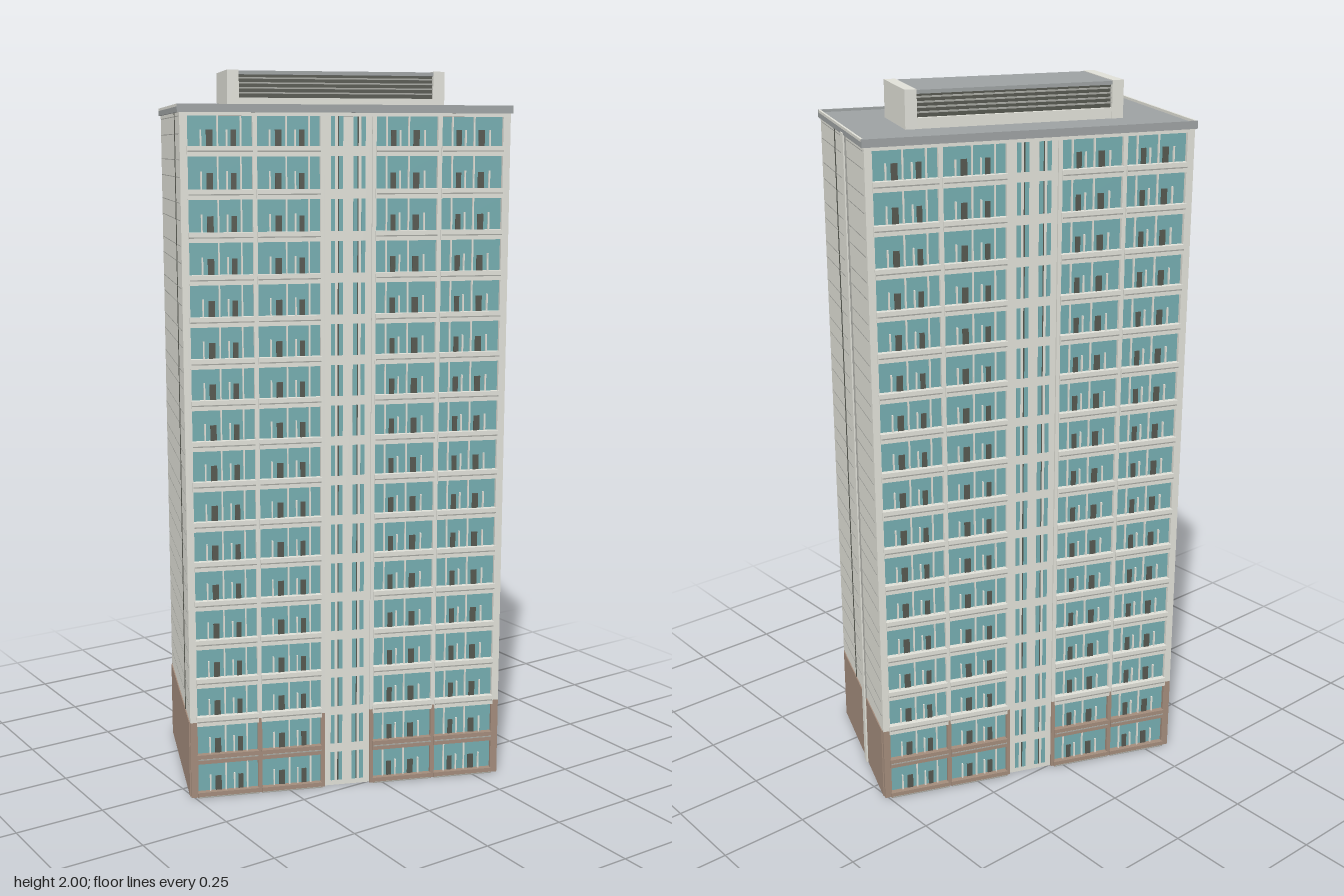
import * as THREE from 'three';
import { mergeGeometries } from 'three/addons/utils/BufferGeometryUtils.js';

const mat = (name, color) => {
  const m = new THREE.MeshStandardMaterial({ color });
  m.name = name;
  return m;
};

// Box given by its limits on each axis
const box = (x0, x1, y0, y1, z0, z1) =>
  new THREE.BoxGeometry(x1 - x0, y1 - y0, z1 - z0)
    .translate((x0 + x1) / 2, (y0 + y1) / 2, (z0 + z1) / 2);

const FLOORS = 17, PITCH = 0.1115, TOP = 1.89, BASE = 0.222;
const HALF_W = 0.447, HALF_D = 0.252, BACKING = 0.238;

export function createModel() {
  const beige = mat('pale concrete', 0xdfdfd7);
  const brown = mat('brown cladding', 0xa28b7b);
  const teal = mat('teal glass', 0x74acaf);
  const grey = mat('roof grey', 0x9da1a2);
  const dark = mat('dark trim', 0x55574f);
  const joint = mat('panel joint', 0xa5a6a0);

  const add = (parent, name, material, boxes) => {
    const mesh = new THREE.Mesh(mergeGeometries(boxes), material);
    mesh.name = name;
    parent.add(mesh);
  };

  const tower = new THREE.Group();
  tower.name = 'tower';
  add(tower, 'body', beige, [box(-HALF_W, HALF_W, 0, TOP, -BACKING, BACKING)]);

  // Long facade: four window bays and a stair core, used front and back
  const bays = [[-0.427, -0.257], [-0.245, -0.076], [0.076, 0.245], [0.257, 0.427]];
  const columns = [[-HALF_W, -0.427], [-0.257, -0.245], [-0.076, -0.065],
    [0.065, 0.076], [0.245, 0.257], [0.427, HALF_W]];
  const facade = () => {
    const g = new THREE.Group();
    const glass = [], bands = [], baseBands = [], ledges = [], doors = [], frames = [];
    const coreGlass = [], coreSlots = [];
    for (let i = 0; i < FLOORS; i++) {
      const f = i * PITCH, y0 = f + 0.015, y1 = Math.min(f + 0.1, TOP - 0.014);
      for (const [a, b] of bays) {
        const mid = (a + b) / 2, out = Math.sign(mid);
        glass.push(box(a, b, y0, y1, BACKING, 0.241));
        (f < BASE - 0.01 ? baseBands : bands)
          .push(box(a - 0.002, b + 0.002, Math.max(0, f - 0.0115), y0, BACKING, 0.257));
        ledges.push(box(a, b, f, f + 0.003, 0.25, 0.2585));
        // Doors and mullions mirror about the stair core
        for (const [t, w] of [[0.027, 0.017], [-0.036, 0.014]]) {
          const c = mid + out * t;
          doors.push(box(c - w / 2, c + w / 2, y0, y0 + 0.042, 0.241, 0.244));
        }
        for (const [t, h] of [[-0.055, 1], [-0.018, 0.55], [0.006, 1], [0.05, 0.55]])
          frames.push(box(mid + out * t - 0.002, mid + out * t + 0.002,
            y0, y0 + (y1 - y0) * h, 0.241, 0.247));
      }
      for (const s of [-1, 1]) {
        const slot = (p, q, list) =>
          list.push(box(Math.min(s * p, s * q), Math.max(s * p, s * q), y0, y1, 0.246, 0.248));
        slot(0.014, 0.025, coreGlass);
        slot(0.025, 0.028, coreSlots);
        slot(0.036, 0.047, coreGlass);
      }
    }
    add(g, 'window glass', teal, glass);
    add(g, 'floor bands', beige, bands);
    add(g, 'base floor bands', brown, baseBands);
    add(g, 'band ledges', joint, ledges);
    add(g, 'balcony doors', dark, doors);
    add(g, 'window mullions', beige, frames);
    add(g, 'stair core', beige, [box(-0.065, 0.065, 0, TOP, BACKING, 0.246)]);
    add(g, 'stair windows', teal, coreGlass);
    add(g, 'stair window posts', dark, coreSlots);
    add(g, 'columns', beige, columns.map(([a, b]) => box(a, b, BASE, TOP, BACKING, HALF_D)));
    add(g, 'base columns', brown, columns.map(([a, b]) => box(a, b, 0, BASE, BACKING, HALF_D)));
    add(g, 'top beam', beige, [box(-HALF_W, HALF_W, TOP - 0.014, TOP, BACKING, 0.253)]);
    return g;
  };
  const front = facade(), back = facade();
  front.name = 'front facade';
  back.name = 'back facade';
  back.rotation.y = Math.PI;
  tower.add(front, back);

  // Short end walls with panel joints and brown base
  for (const s of [1, -1]) {
    const end = new THREE.Group();
    end.name = s > 0 ? 'left end wall' : 'right end wall';
    if (s < 0) end.rotation.y = Math.PI;
    const x = HALF_W;
    const rows = [];
    for (let i = 2; i < FLOORS; i++)
      for (const dy of [0.045, 0.09])
        rows.push(box(x, x + 0.001, i * PITCH + dy, i * PITCH + dy + 0.002, -0.238, 0.238));
    add(end, 'horizontal joints', joint, rows);
    const z = s > 0 ? 0.075 : -0.14;
    add(end, 'vertical joint', dark, [box(x, x + 0.002, BASE, TOP, z - 0.002, z + 0.002)]);
    add(end, 'base cladding', brown, [box(x, x + 0.003, 0, BASE, -0.24, 0.24)]);
    if (s > 0) {
      add(end, 'vertical rib', beige, [box(x, x + 0.008, 0, TOP, -0.054, -0.027)]);
      add(end, 'rib side joints', joint, [
        box(x, x + 0.004, BASE, TOP, -0.027, -0.025), box(x, x + 0.004, BASE, TOP, -0.056, -0.054)]);
    }
    tower.add(end);
  }

  // Flat roof with a low rim, pale along the short ends
  const rx = 0.453, rz = 0.255, rim = 0.006;
  add(tower, 'roof slab', grey, [box(-rx, rx, 1.885, 1.899, -rz, rz)]);
  add(tower, 'long roof rims', grey, [
    box(-rx, rx, 1.899, 1.906, rz - rim, rz), box(-rx, rx, 1.899, 1.906, -rz, -rz + rim)]);
  add(tower, 'end roof rims', beige, [
    box(-rx, -rx + rim, 1.899, 1.906, -rz + rim, rz - rim),
    box(rx - rim, rx, 1.899, 1.906, -rz + rim, rz - rim)]);

  // Rooftop plant room: solid ends, louvred long sides
  const plant = new THREE.Group();
  plant.name = 'plant room';
  add(plant, 'plant room ends', beige, [-1, 1].map((s) =>
    box(s * 0.286 - 0.016, s * 0.286 + 0.016, 1.899, 2, -0.107, 0.107)));
  add(plant, 'plant room lower wall', beige, [box(-0.27, 0.27, 1.899, 1.927, -0.105, 0.105)]);
  add(plant, 'louvre backing', dark, [box(-0.27, 0.27, 1.927, 1.988, -0.094, 0.094)]);
  add(plant, 'louvre blades', joint, [1.938, 1.951, 1.964, 1.977].map((y) =>
    box(-0.27, 0.27, y, y + 0.004, -0.1, 0.1)));
  add(plant, 'plant room roof', grey, [box(-0.27, 0.27, 1.988, 1.998, -0.106, 0.106)]);
  tower.add(plant);

  // The whole block stands turned on its plot
  tower.rotation.y = -0.379;
  const model = new THREE.Group();
  model.name = 'apartment tower';
  model.add(tower);
  return model;
}
